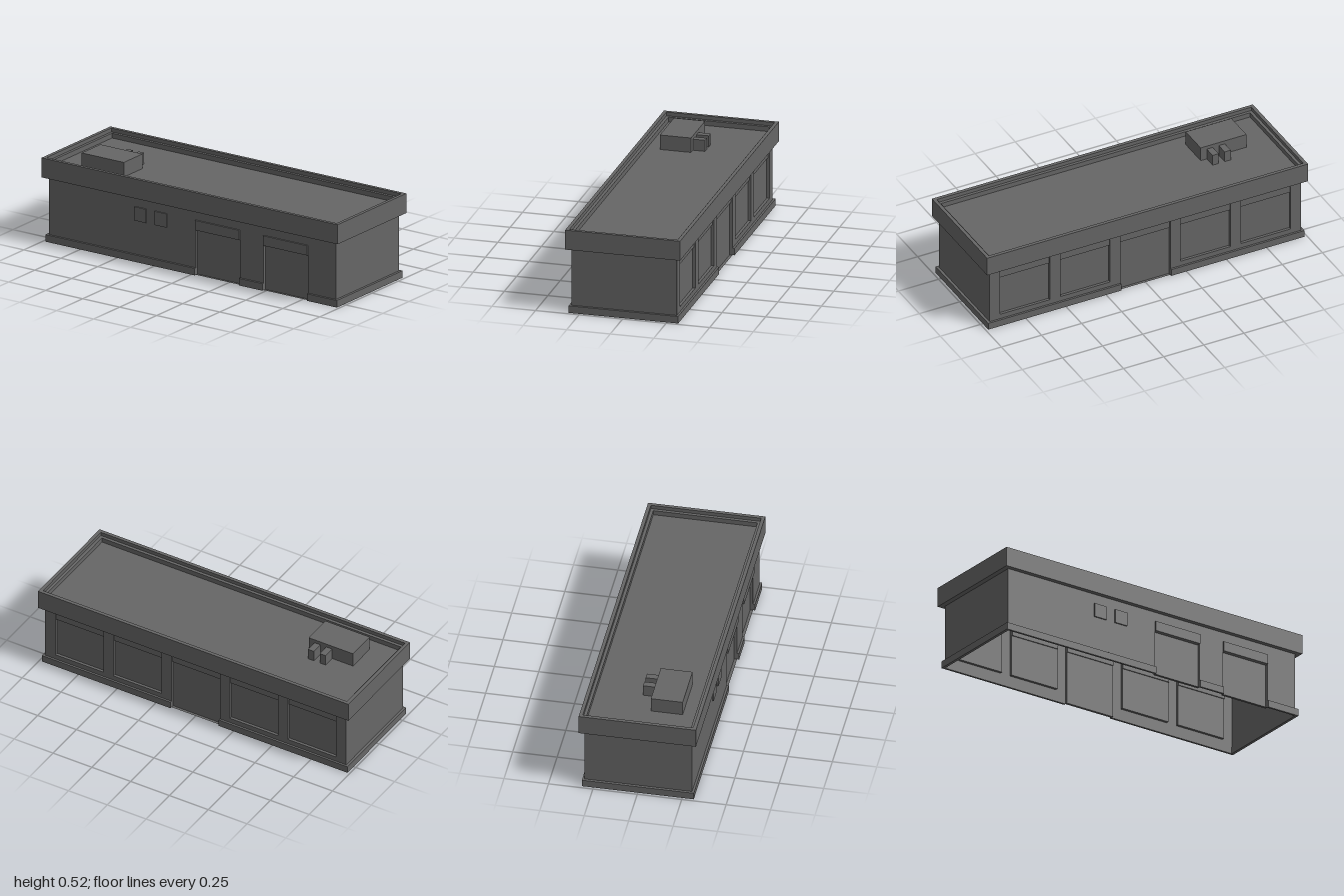
import * as THREE from 'three';

const WALL = { x: 0.97, z: 0.303, h: 0.385 };
const PLINTH = { x: 0.985, z: 0.315, h: 0.041 };
const RECESS = 0.016;
const material = new THREE.MeshStandardMaterial({ color: 0x666666, flatShading: true, side: THREE.DoubleSide });

function add(parent, name, geometry) {
  const mesh = new THREE.Mesh(geometry, material);
  mesh.name = name;
  parent.add(mesh);
  return mesh;
}

// Box given by its limits on each axis
function block(parent, name, [x0, x1], [y0, y1], [z0, z1]) {
  const mesh = add(parent, name, new THREE.BoxGeometry(x1 - x0, y1 - y0, z1 - z0));
  mesh.position.set((x0 + x1) / 2, (y0 + y1) / 2, (z0 + z1) / 2);
  return mesh;
}

// Shallow niche behind an opening: a box without its front face
function recess(parent, name, xs, ys) {
  const { geometry } = block(parent, name, xs, ys, [WALL.z - RECESS, WALL.z]);
  geometry.setIndex(Array.from(geometry.index.array).filter((_, i) => i < 24 || i >= 30));
}

function rectangle(Type, x0, x1, y0, y1) {
  const points = [[x0, y0], [x1, y0], [x1, y1], [x0, y1]];
  return new Type(points.map(([x, y]) => new THREE.Vector2(x, y)));
}

// Long wall facing +z: openings sorted by x; those starting at y = 0 also cut the plinth
function makeFacade(name, openings, headerFront) {
  const group = new THREE.Group();
  group.name = name;
  const shape = new THREE.Shape();
  shape.moveTo(-WALL.x, 0);
  let plinthStart = -PLINTH.x;
  const plinth = (end) => {
    block(group, 'plinth', [plinthStart, end], [0, PLINTH.h], [WALL.z - 0.001, PLINTH.z]);
  };

  for (const { x0, x1, y0, y1, header } of openings) {
    if (y0 === 0) {
      shape.lineTo(x0, 0);
      shape.lineTo(x0, y1);
      shape.lineTo(x1, y1);
      shape.lineTo(x1, 0);
      plinth(x0);
      plinthStart = x1;
    } else {
      shape.holes.push(rectangle(THREE.Path, x0, x1, y0, y1));
    }
    recess(group, y0 === 0 ? 'doorRecess' : 'windowRecess', [x0, x1], [y0, y1]);
    block(group, 'header', [x0, x1], [header, y1], [WALL.z - RECESS - 0.006, headerFront]);
  }
  plinth(PLINTH.x);
  shape.lineTo(WALL.x, 0);
  shape.lineTo(WALL.x, WALL.h);
  shape.lineTo(-WALL.x, WALL.h);
  shape.closePath();

  add(group, 'wall', new THREE.ShapeGeometry(shape)).position.z = WALL.z;
  return group;
}

// Horizontal rectangular ring, inner half-sizes cut from outer ones
function makeRing(parent, name, [ox, oz], [ix, iz], y0, y1) {
  const shape = rectangle(THREE.Shape, -ox, ox, -oz, oz);
  shape.holes.push(rectangle(THREE.Path, -ix, ix, -iz, iz));
  const ring = add(parent, name, new THREE.ExtrudeGeometry(shape, { depth: y1 - y0, bevelEnabled: false }));
  ring.rotation.x = -Math.PI / 2;
  ring.position.y = y0;
}

export function createModel() {
  const model = new THREE.Group();
  model.name = 'building';

  // Front wall with two shutter doors and two small windows
  const front = makeFacade('frontFacade', [
    { x0: 0.023, x1: 0.323, y0: 0, y1: 0.32, header: 0.263 },
    { x0: 0.482, x1: 0.782, y0: 0, y1: 0.32, header: 0.263 },
  ], 0.312);
  for (const x of [-0.39, -0.25]) {
    block(front, 'smallWindow', [x, x + 0.08], [0.239, 0.319], [WALL.z - 0.001, 0.311]);
  }
  model.add(front);

  // Back wall with five recessed bays, the middle one a doorway
  const bays = [-0.75, -0.375, 0, 0.375, 0.75].map((x) => (
    { x0: x - 0.155, x1: x + 0.155, y0: x === 0 ? 0 : 0.07, y1: 0.357, header: 0.31 }
  ));
  const back = makeFacade('backFacade', bays, WALL.z - 0.008);
  back.rotation.y = Math.PI;
  model.add(back);

  // End walls with their plinths
  for (const angle of [Math.PI / 2, -Math.PI / 2]) {
    const end = new THREE.Group();
    end.name = 'endWall';
    const wall = add(end, 'wall', new THREE.PlaneGeometry(2 * WALL.z, WALL.h));
    wall.position.set(0, WALL.h / 2, WALL.x);
    block(end, 'plinth', [-WALL.z, WALL.z], [0, PLINTH.h], [WALL.x - 0.001, PLINTH.x]);
    end.rotation.y = angle;
    model.add(end);
  }

  // Roof deck inside a stepped parapet
  block(model, 'roofDeck', [-0.963, 0.963], [0.38, 0.44], [-0.293, 0.293]);
  makeRing(model, 'parapetBase', [1, 0.33], [0.963, 0.293], 0.376, 0.468);
  makeRing(model, 'parapetRim', [1, 0.33], [0.98, 0.31], 0.468, 0.49);

  // Rooftop ventilation unit with two ducts
  block(model, 'ventilationUnit', [-0.808, -0.523], [0.44, 0.525], [0.039, 0.218]);
  for (const x of [-0.655, -0.58]) {
    block(model, 'duct', [x - 0.019, x + 0.019], [0.44, 0.505], [-0.031, 0.039]);
  }

  return model;
}
